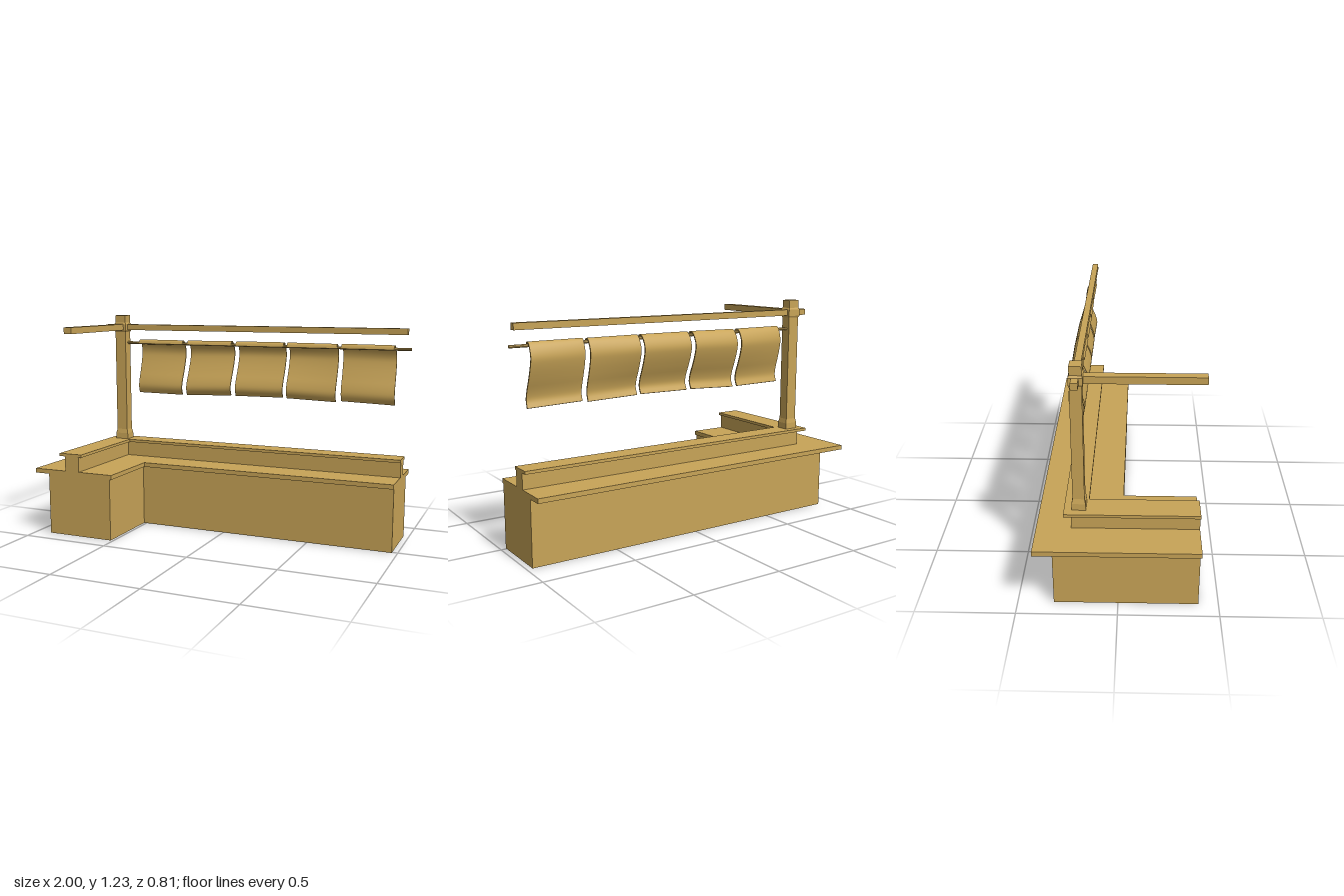
import * as THREE from 'three';

const wood = new THREE.MeshStandardMaterial({ color: 0xc8a457, flatShading: true });
const cloth = new THREE.MeshStandardMaterial({ color: 0xc8a457, side: THREE.DoubleSide });

const END_X = 0.97, END_Z = 0.4;

function add(parent, name, geometry, material = wood) {
  const mesh = new THREE.Mesh(geometry, material);
  mesh.name = name;
  parent.add(mesh);
  return mesh;
}

// L-shaped layer: outer corner (x0, z0), inner corner (x1, z1), from height y0 to y1
function lLayer(x0, z0, x1, z1, y0, y1) {
  const corners = [[x0, END_Z], [x1, END_Z], [x1, z1], [END_X, z1], [END_X, z0], [x0, z0]];
  const shape = new THREE.Shape(corners.map(([x, z]) => new THREE.Vector2(x, -z)));
  return new THREE.ExtrudeGeometry(shape, { depth: y1 - y0, bevelEnabled: false })
    .rotateX(-Math.PI / 2).translate(0, y0, 0);
}

// Box given by its limits on each axis
function boxBetween(x0, x1, y0, y1, z0, z1) {
  return new THREE.BoxGeometry(x1 - x0, y1 - y0, z1 - z0)
    .translate((x0 + x1) / 2, (y0 + y1) / 2, (z0 + z1) / 2);
}

// Square post with a flared foot and a collar where the beams cross
function postGeometry() {
  const profile = [
    [0, 0.47], [0.041, 0.47], [0.04, 0.505], [0.034, 0.53], [0.034, 1.128],
    [0.04, 1.138], [0.04, 1.174], [0.034, 1.184], [0.034, 1.228], [0, 1.228],
  ].map(([half, y]) => new THREE.Vector2(half * Math.SQRT2, y));
  return new THREE.LatheGeometry(profile, 4, Math.PI / 4)
    .scale(1, 1, 0.86).translate(-0.754, 0, -0.193);
}

// Side profile of a hanging cloth, as (z, y), draped over the rod
const drape = new THREE.CatmullRomCurve3([
  [-0.186, 1.058], [-0.194, 1.076], [-0.212, 1.079], [-0.234, 1.055], [-0.249, 1.01],
  [-0.242, 0.965], [-0.22, 0.9], [-0.196, 0.84], [-0.189, 0.8], [-0.203, 0.762],
].map(([z, y]) => new THREE.Vector3(0, y, z)));

// Thin panel bent along the drape; the wave strength changes from side to side
function clothGeometry({ top, bottom, wave, sag }) {
  const geometry = new THREE.BoxGeometry(1, 1, 0.007, 8, 32, 1);
  const pos = geometry.attributes.position;
  for (let i = 0; i < pos.count; i++) {
    const u = pos.getX(i) + 0.5;
    const v = 0.5 - pos.getY(i);
    const p = drape.getPoint(v), t = drape.getTangent(v);
    const offset = pos.getZ(i);
    const x = THREE.MathUtils.lerp(
      THREE.MathUtils.lerp(top[0], top[1], u),
      THREE.MathUtils.lerp(bottom[0], bottom[1], u), v);
    const strength = THREE.MathUtils.lerp(wave[0], wave[1], u);
    const drop = THREE.MathUtils.lerp(sag[0], sag[1], u) * v;
    pos.setXYZ(i, x, p.y + drop + t.z * offset, -0.2 + (p.z + 0.2) * strength - t.y * offset);
  }
  geometry.computeVertexNormals();
  return geometry;
}

export function createModel() {
  const model = new THREE.Group();
  model.name = 'cornerCounterStall';

  // Counter: cabinet, worktop, raised ledge and its cap
  const counter = new THREE.Group();
  counter.name = 'counter';
  model.add(counter);
  add(counter, 'cabinet', lLayer(-0.91, -0.32, -0.515, 0.01, 0, 0.346));
  add(counter, 'worktop', lLayer(-1, -0.405, -0.503, 0.02, 0.346, 0.371));
  add(counter, 'ledgeRiser', lLayer(-0.8, -0.232, -0.712, -0.16, 0.371, 0.455));
  add(counter, 'ledgeCap', lLayer(-0.835, -0.266, -0.694, -0.147, 0.455, 0.471));

  // Post and the two beams that meet at it
  const frame = new THREE.Group();
  frame.name = 'frame';
  model.add(frame);
  add(frame, 'post', postGeometry());
  add(frame, 'longBeam', boxBetween(-0.85, 0.98, 1.14, 1.174, -0.212, -0.178));
  add(frame, 'shortBeam', boxBetween(-0.777, -0.731, 1.139, 1.175, -0.2, 0.407));

  // Rod carrying the cloths
  add(frame, 'clothRod', new THREE.CylinderGeometry(0.008, 0.008, 1.73, 8)
    .rotateZ(Math.PI / 2).translate(0.135, 1.063, -0.197));

  // Row of hanging cloths
  const cloths = new THREE.Group();
  cloths.name = 'hangingCloths';
  model.add(cloths);
  [
    { top: [-0.638, -0.347], bottom: [-0.645, -0.355], wave: [0.75, 0.98], sag: [0, -0.003] },
    { top: [-0.314, -0.033], bottom: [-0.325, -0.04], wave: [1.04, 1.1], sag: [-0.004, 0.008] },
    { top: [-0.005, 0.285], bottom: [-0.01, 0.28], wave: [1.1, 1.06], sag: [0.007, 0.01] },
    { top: [0.306, 0.594], bottom: [0.303, 0.59], wave: [1.04, 0.85], sag: [0.008, 0] },
    { top: [0.618, 0.908], bottom: [0.622, 0.92], wave: [0.78, 0.95], sag: [0.007, -0.002] },
  ].forEach((spec, i) => add(cloths, `cloth${i + 1}`, clothGeometry(spec), cloth));

  return model;
}
